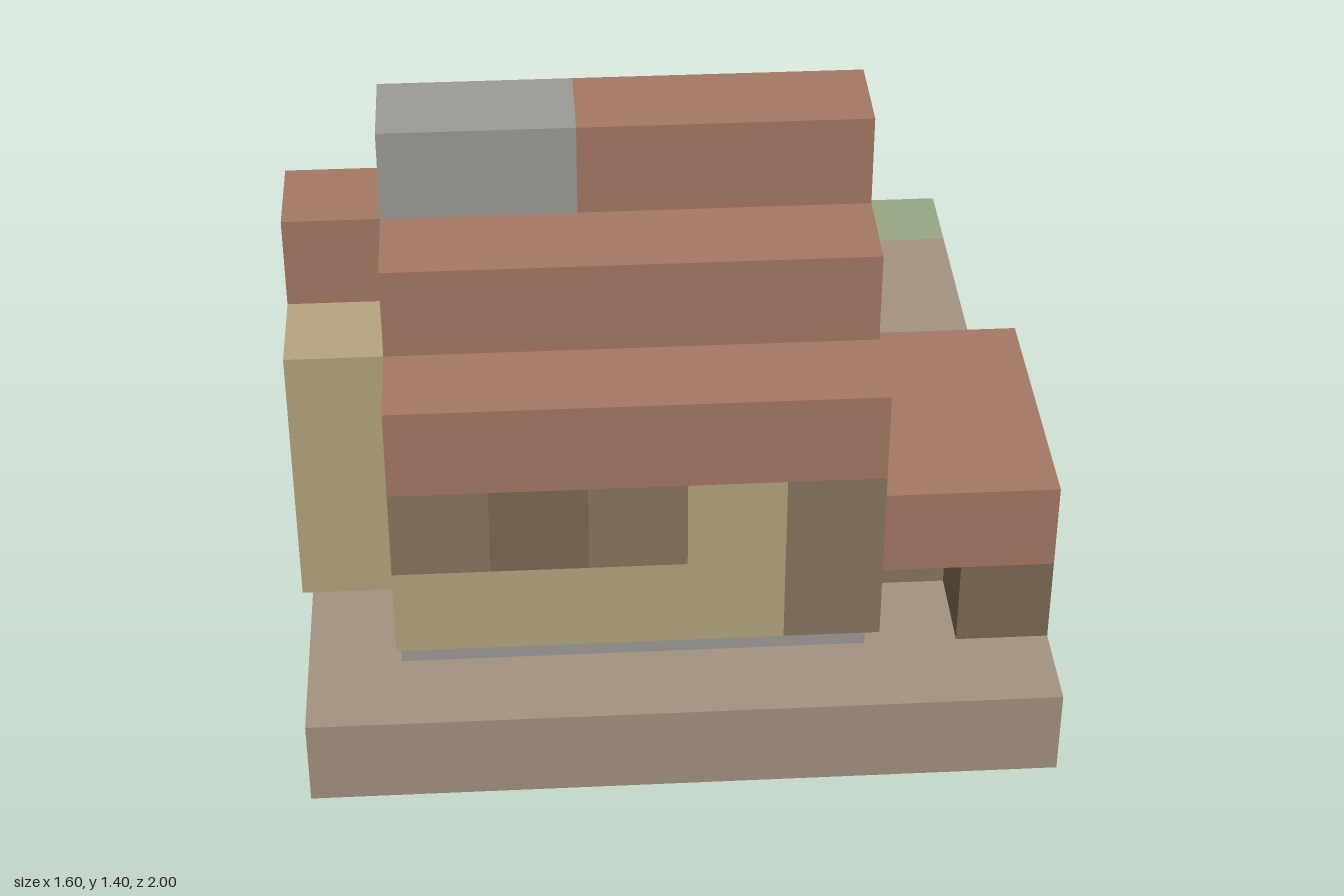
import * as THREE from 'three';

const CELL = 0.2;
const [NX, NY, NZ] = [8, 7, 10];

const soil = 0xa39380, grass = 0x97a985, darkSoil = 0x7f6c58, clay = 0xa67565, straw = 0xa89d6e;
const stone = 0x9d9b97, plaster = 0xb6a57f, timber = 0x8a7660, darkTimber = 0x7d6a55;
const tile = 0xa57866, iron = 0x74727a;

const key = (x, y, z) => `${x},${y},${z}`;

// Cells of the house: fill(part, colour, corner, size); later fills replace earlier ones
function buildCells() {
  const cells = new Map();
  const fill = (name, color, x, y, z, w = 1, h = 1, d = 1) => {
    for (let i = x; i < x + w; i++)
      for (let j = y; j < y + h; j++)
        for (let k = z; k < z + d; k++) cells.set(key(i, j, k), { name, color, at: [i, j, k] });
  };

  // Ground slab with a grass border and coloured patches
  fill('ground', soil, 0, 0, 0, NX, 1, NZ);
  fill('grass', grass, 0, 0, 0, NX);
  for (const x of [0, 2, 3, 5]) fill('grass', grass, x, 0, 1);
  fill('darkSoilPatches', darkSoil, 3, 0, 2);
  fill('darkSoilPatches', darkSoil, 6, 0, 4);
  fill('clayPatch', clay, 1, 0, 3);
  fill('strawPatch', straw, 3, 0, 4);

  // Foundation, overhanging walls and side wing
  fill('foundation', stone, 1, 1, 6, 5, 1, 3);
  fill('walls', plaster, 1, 2, 5, 5, 2, 5);
  fill('sideWing', plaster, 0, 2, 6, 1, 3, 3);

  // Timber: back beam, corner posts, front beam with a window
  fill('timberFrame', timber, 0, 3, 5, 6);
  for (const z of [5, 9]) fill('timberFrame', timber, 5, 2, z, 1, 2);
  fill('timberFrame', timber, 1, 3, 9, 3);
  fill('frontWindow', darkTimber, 2, 3, 9);

  // Stepped roof, mirrored about the ridge, with gables filled between
  for (let step = 0; step < 3; step++) {
    fill('gables', plaster, 1, 4 + step, 5 + step, 5, 1, 5 - 2 * step);
    for (const z of [5 + step, 9 - step]) fill('roof', tile, 1, 4 + step, z, 5);
  }
  fill('chimney', stone, 1, 6, 7, 2);
  fill('wingRoof', tile, 0, 5, 7);

  // Porch with two posts and a step, and a loose block in the yard
  fill('porchRoof', tile, 6, 2, 6, 2, 1, 3);
  for (const z of [6, 8]) fill('porchPosts', darkTimber, 7, 1, z);
  fill('doorStep', timber, 6, 1, 7);
  fill('yardBlock', iron, 5, 1, 4);
  return cells;
}

// Adds the exposed faces of one cell; the underside of the slab stays open
function addFaces(positions, at, cells) {
  for (let axis = 0; axis < 3; axis++) {
    for (const side of [-1, 1]) {
      const next = [...at];
      next[axis] += side;
      if (next[1] < 0 || cells.has(key(...next))) continue;
      const corner = (u, v) => {
        const p = [...at];
        if (side > 0) p[axis] += 1;
        p[(axis + 1) % 3] += u;
        p[(axis + 2) % 3] += v;
        return [(p[0] - NX / 2) * CELL, p[1] * CELL, (p[2] - NZ / 2) * CELL];
      };
      const quad = [corner(0, 0), corner(1, 0), corner(1, 1), corner(0, 1)];
      if (side < 0) quad.reverse();
      const [a, b, c, d] = quad;
      positions.push(...a, ...b, ...c, ...a, ...c, ...d);
    }
  }
}

export function createModel() {
  const group = new THREE.Group();
  group.name = 'blockHouse';
  const cells = buildCells();

  // Gather the faces of each part
  const parts = new Map();
  for (const { name, color, at } of cells.values()) {
    if (!parts.has(name)) parts.set(name, { color, positions: [] });
    addFaces(parts.get(name).positions, at, cells);
  }

  // One mesh per part
  for (const [name, { color, positions }] of parts) {
    const geometry = new THREE.BufferGeometry();
    geometry.setAttribute('position', new THREE.Float32BufferAttribute(positions, 3));
    geometry.computeVertexNormals();
    const material = new THREE.MeshStandardMaterial({ color, side: THREE.DoubleSide });
    const mesh = new THREE.Mesh(geometry, material);
    mesh.name = name;
    group.add(mesh);
  }
  return group;
}
